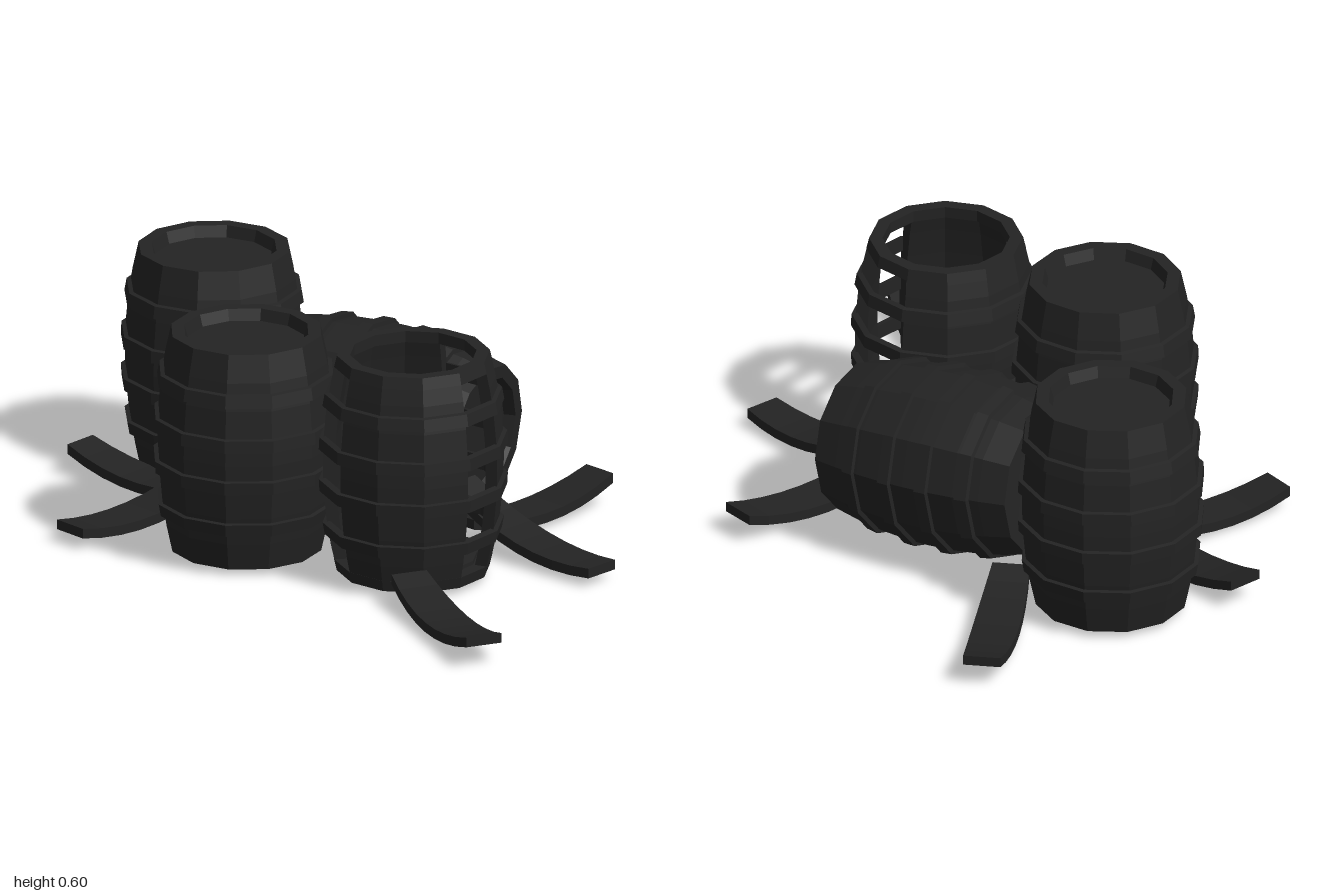
import * as THREE from 'three';

const SIDES = 12, HALF = 0.29, WALL = 0.032;
const HOOPS = [-0.175, -0.058, 0.055, 0.172];
const charcoal = new THREE.MeshStandardMaterial({ color: 0x232323 });
charcoal.name = 'charcoal';

// Barrel radius at height y measured from its middle
const bulge = (y) => 0.196 + 0.036 * (1 - (y / HALF) ** 2);

function part(name, geometry) {
  const g = geometry.index ? geometry.toNonIndexed() : geometry;
  g.computeVertexNormals();
  const mesh = new THREE.Mesh(g, charcoal);
  mesh.name = name;
  return mesh;
}

// Twelve-sided turned part with its flats centred on the axes
function turned(name, points) {
  const g = new THREE.LatheGeometry(points.map(([r, y]) => new THREE.Vector2(r, y)), SIDES);
  return part(name, g.rotateY(Math.PI / SIDES));
}

// Box whose vertices are moved by a rule
function shaped(name, steps, rule) {
  const g = new THREE.BoxGeometry(1, 1, 1, 1, steps, 1);
  const p = g.attributes.position;
  for (let i = 0; i < p.count; i++) p.setXYZ(i, ...rule(p.getX(i), p.getY(i), p.getZ(i)));
  return part(name, g);
}

function addHoops(barrel) {
  for (const y of HOOPS) {
    const a = y - 0.019, b = y + 0.019, r = bulge(y);
    barrel.add(turned('hoop', [
      [r - 0.006, a], [bulge(a) + 0.011, a + 0.003], [bulge(b) + 0.011, b - 0.003],
      [r - 0.006, b], [r - 0.006, a],
    ]));
  }
}

function closedBarrel(name) {
  const barrel = new THREE.Group();
  barrel.name = name;
  const profile = [[0, 0.03 - HALF], [0.153, 0.03 - HALF], [0.162, -HALF]];
  for (let i = 0; i <= 8; i++) {
    const y = -HALF + (i / 8) * 2 * HALF;
    profile.push([bulge(y), y]);
  }
  profile.push([0.162, HALF], [0.153, HALF - 0.03], [0, HALF - 0.03]);
  barrel.add(turned('body', profile));
  addHoops(barrel);
  return barrel;
}

// Open barrel with some staves missing between the end rings
function brokenBarrel(name, missing) {
  const barrel = new THREE.Group();
  barrel.name = name;
  for (let k = 0; k < SIDES; k++) {
    if (missing.includes(k)) continue;
    barrel.add(shaped('stave', 8, (u, v, w) => {
      const y = v * 2 * HALF, angle = ((k + u) * 2 * Math.PI) / SIDES;
      const r = bulge(y) - (w > 0 ? 0 : WALL);
      return [r * Math.sin(angle), y, r * Math.cos(angle)];
    }));
  }
  for (const [a, b] of [[-HALF, 0.03 - HALF], [HALF - 0.03, HALF]]) {
    barrel.add(turned('endRing', [
      [0.162, a], [bulge(a), a], [bulge(b), b], [0.162, b], [0.162, a],
    ]));
  }
  barrel.add(turned('floor', [[0, 0.02 - HALF], [0.165, 0.02 - HALF], [0.165, 0.04 - HALF], [0, 0.04 - HALF]]));
  addHoops(barrel);
  return barrel;
}

// Loose bowed plank from its inner end to its outer end; lift raises it, pitch raises the inner end
function loosePlank([x0, z0], [x1, z1], lift, pitch) {
  const length = Math.hypot(x1 - x0, z1 - z0);
  const plank = shaped('loosePlank', 8, (u, v, w) => {
    const t = v * 2;
    const y = lift + 0.042 * t * t - pitch * t + (w > 0 ? 0 : 0.026);
    return [u * (0.118 - 0.022 * t * t), y, v * length];
  });
  plank.position.set((x0 + x1) / 2, 0, (z0 + z1) / 2);
  plank.rotation.y = Math.atan2(x1 - x0, z1 - z0);
  return plank;
}

export function createModel() {
  const model = new THREE.Group();
  model.name = 'barrelPile';

  // Upright barrels
  const back = closedBarrel('backBarrel');
  back.position.set(-0.13, 0.31, -0.64);
  back.rotation.y = 0.2;
  const side = closedBarrel('sideBarrel');
  side.position.set(-0.287, 0.31, -0.03);
  side.rotation.y = 0.17;
  const broken = brokenBarrel('brokenBarrel', [1, 3, 4, 9]);
  broken.position.set(0.043, 0.31, 0.288);

  // Barrel lying on its side
  const lying = closedBarrel('lyingBarrel');
  lying.position.set(0.17, 0.247, -0.22);
  lying.quaternion.setFromUnitVectors(
    new THREE.Vector3(0, 1, 0), new THREE.Vector3(0.65, -0.07, 0.76).normalize());

  model.add(back, side, broken, lying);

  // Scattered planks
  model.add(
    loosePlank([-0.05, 0.49], [-0.05, 1.0], 0.018, 0),
    loosePlank([0.1, -0.52], [0.308, -0.98], 0.018, 0),
    loosePlank([-0.22, -0.41], [-0.69, -0.23], 0.018, 0.025),
    loosePlank([-0.235, -0.29], [-0.455, -0.745], 0.018, 0),
    loosePlank([0.23, 0.145], [0.69, -0.05], 0.018, 0),
    loosePlank([0.26, 0.08], [0.46, 0.535], 0.038, 0.052),
  );
  return model;
}
